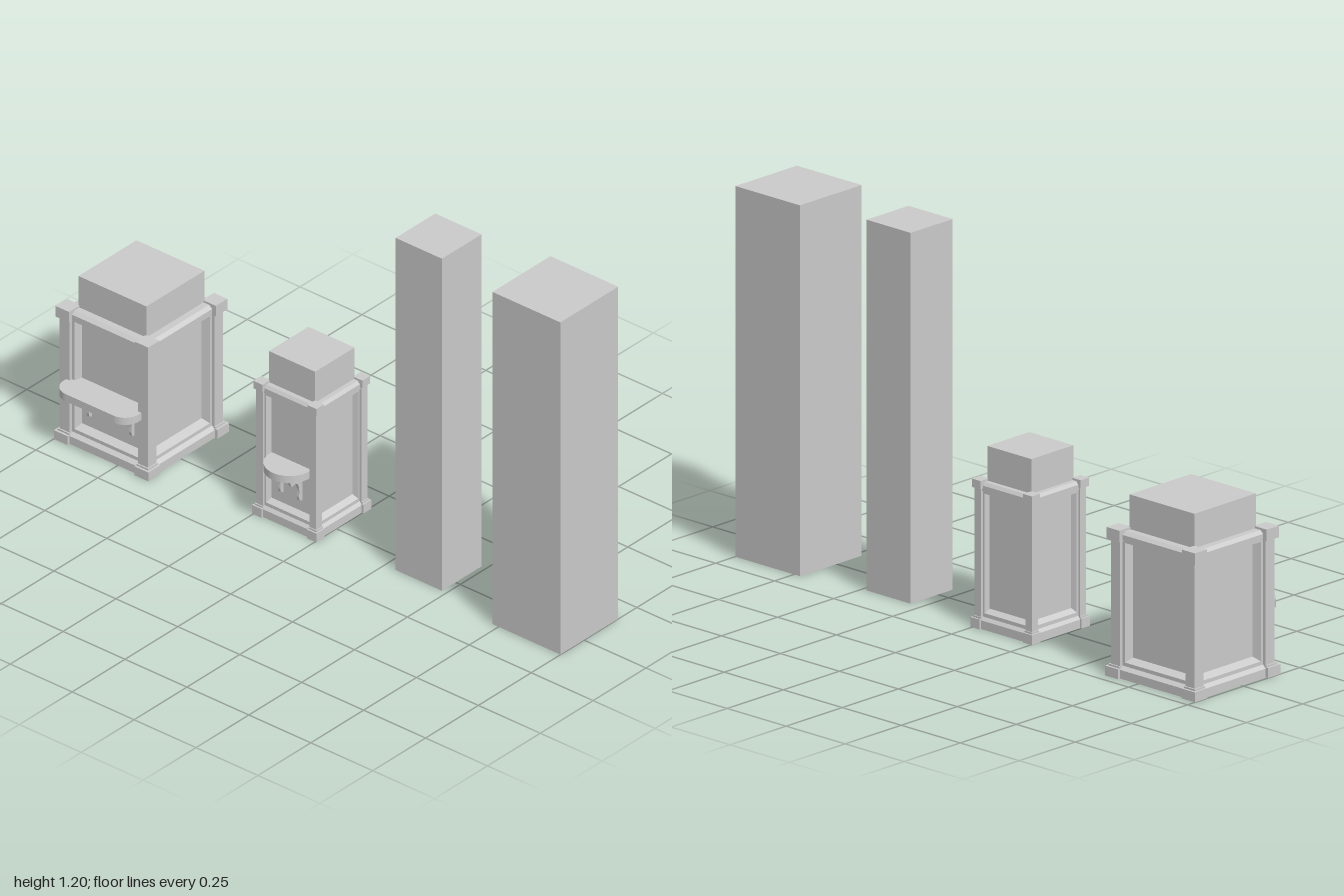
import * as THREE from 'three';

const grey = new THREE.MeshStandardMaterial({ color: 0xcccccc, flatShading: true });
const smooth = new THREE.MeshStandardMaterial({ color: 0xcccccc });

function add(parent, name, geometry, material = grey) {
  const mesh = new THREE.Mesh(geometry, material);
  mesh.name = name;
  parent.add(mesh);
  return mesh;
}

// Box spanning y0 to y1, centred on x and z
function block(parent, name, w, d, y0, y1, x = 0, z = 0) {
  const mesh = add(parent, name, new THREE.BoxGeometry(w, y1 - y0, d));
  mesh.position.set(x, (y0 + y1) / 2, z);
  return mesh;
}

// Square slab with sloping sides, from half width h0 to h1
function slope(parent, name, h0, h1, y0, y1) {
  const g = new THREE.CylinderGeometry(h1 * Math.SQRT2, h0 * Math.SQRT2, y1 - y0, 4);
  g.rotateY(Math.PI / 4);
  add(parent, name, g).position.y = (y0 + y1) / 2;
}

// Picture frame facing +z, lofted through rectangles [halfWidth, bottom, top, z]
function frameGeometry(rects) {
  const corners = rects.map(([w, b, t, z]) => [[-w, b, z], [w, b, z], [w, t, z], [-w, t, z]]);
  const pos = [];
  for (let i = 0; i < rects.length - 1; i++) {
    for (let k = 0; k < 4; k++) {
      const n = (k + 1) % 4;
      const a = corners[i][k], b = corners[i][n], c = corners[i + 1][n], d = corners[i + 1][k];
      pos.push(...a, ...b, ...c, ...a, ...c, ...d);
    }
  }
  const g = new THREE.BufferGeometry();
  g.setAttribute('position', new THREE.Float32BufferAttribute(pos, 3));
  g.computeVertexNormals();
  return g;
}

// Shelf with rounded front corners; z runs from back to front
function shelf(parent, half, back, front, r) {
  const s = new THREE.Shape();
  s.moveTo(-half, -back);
  s.lineTo(-half, -(front - r));
  s.absarc(-half + r, -(front - r), r, Math.PI, Math.PI * 1.5, false);
  s.absarc(half - r, -(front - r), r, Math.PI * 1.5, Math.PI * 2, false);
  s.lineTo(half, -back);
  const g = new THREE.ExtrudeGeometry(s, { depth: 0.026, bevelEnabled: false, curveSegments: 12 });
  g.rotateX(-Math.PI / 2);
  add(parent, 'shelf', g, smooth).position.y = 0.2;
}

// Curved bracket under the shelf, drawn in the z-y plane
function bracket(parent, x, wallZ) {
  const s = new THREE.Shape();
  s.moveTo(0, 0.202);
  s.lineTo(0.055, 0.202);
  s.bezierCurveTo(0.062, 0.185, 0.052, 0.165, 0.04, 0.175);
  s.bezierCurveTo(0.02, 0.18, 0.012, 0.15, 0.016, 0.125);
  s.bezierCurveTo(0.018, 0.112, 0.012, 0.1, 0, 0.102);
  const g = new THREE.ExtrudeGeometry(s, { depth: 0.01, bevelEnabled: false, curveSegments: 8 });
  g.translate(0, 0, -0.005);
  g.rotateY(-Math.PI / 2);
  add(parent, 'shelfBracket', g, smooth).position.set(x, 0, wallZ);
}

// Panelled pedestal around a pillar; s scales its plan
function pedestal(name, s, capBottom) {
  const g = new THREE.Group();
  g.name = name;
  block(g, 'pillarStub', 0.274 * s, 0.274 * s, 0.44, 0.585);
  block(g, 'panelCore', 0.28 * s, 0.28 * s, 0.02, 0.45);
  block(g, 'basePlinth', 0.362 * s, 0.362 * s, 0, 0.028);
  slope(g, 'baseMoulding', 0.181 * s, 0.168 * s, 0.028, 0.038);
  block(g, 'topRail', 0.344 * s, 0.344 * s, 0.445, 0.463);
  slope(g, 'topMoulding', 0.172 * s, 0.16 * s, 0.463, 0.473);

  // Corner posts with feet and caps
  for (const sx of [-1, 1]) {
    for (const sz of [-1, 1]) {
      const corner = (part, outer, w, y0, y1) => {
        const c = (outer - w / 2) * s;
        block(g, part, w * s, w * s, y0, y1, sx * c, sz * c);
      };
      corner('cornerPost', 0.178, 0.04, 0.02, 0.46);
      corner('postFoot', 0.191, 0.056, 0, 0.032);
      corner('postFootStep', 0.183, 0.046, 0.032, 0.038);
      corner('postCap', 0.187, 0.054, capBottom, 0.48);
    }
  }

  // Recessed panel frame on each side
  const frame = frameGeometry([
    [0.15 * s, 0.03, 0.45, 0.167 * s],
    [0.128 * s, 0.05, 0.437, 0.167 * s],
    [0.12 * s, 0.062, 0.429, 0.139 * s],
  ]);
  for (let i = 0; i < 4; i++) add(g, 'panelFrame', frame).rotation.y = (i * Math.PI) / 2;
  return g;
}

export function createModel() {
  const model = new THREE.Group();
  model.name = 'pedestalsAndPillars';

  // Plain pillars
  block(model, 'widePillar', 0.274, 0.274, 0, 1.2, 0.862, -0.026);
  block(model, 'narrowPillar', 0.187, 0.187, 0, 1.2, 0.388, -0.029);

  // Wide pedestal with a long shelf
  const wide = pedestal('widePedestal', 1, 0.442);
  wide.position.set(-0.809, 0, -0.026);
  shelf(wide, 0.152, 0.135, 0.246, 0.056);
  for (const x of [-0.086, 0.086]) bracket(wide, x, 0.138);
  model.add(wide);

  // Narrow pedestal with a half-round shelf
  const narrow = pedestal('narrowPedestal', 0.68, 0.453);
  narrow.position.set(-0.124, 0, -0.029);
  shelf(narrow, 0.08, 0.092, 0.185, 0.0799);
  for (const x of [-0.038, 0.038]) bracket(narrow, x, 0.094);
  model.add(narrow);

  return model;
}
